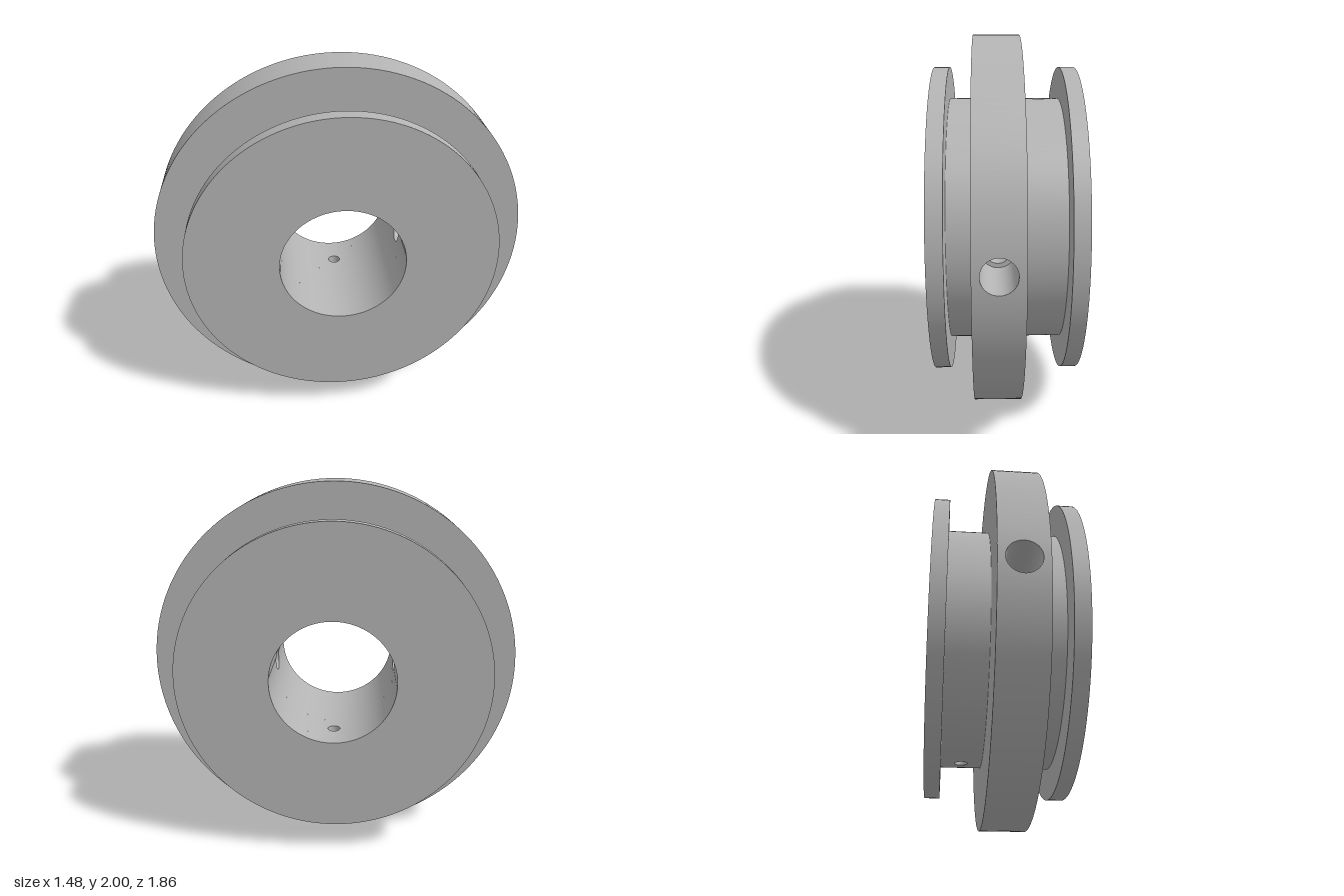
import * as THREE from 'three';

const TAU = Math.PI * 2;
const BORE = 0.335, HUB = 0.665, DISC = 0.832, FLANGE = 1;
// stations along the axle: disc | hub | flange | hub | disc
const [S0, S1, S2, S3, S4, S5] = [-0.385, -0.305, -0.09, 0.153, 0.28, 0.362];

// smooth surface from point(u, v) and normal(point, u, v), wound to face its normal
function grid(nu, nv, point, normal) {
  const pts = [], nrm = [], index = [];
  for (let j = 0; j <= nv; j++) for (let i = 0; i <= nu; i++) {
    const p = point(i / nu, j / nv);
    pts.push(p);
    nrm.push(normal(p, i / nu, j / nv).normalize());
  }
  const tri = (a, b, c) => {
    const n = pts[b].clone().sub(pts[a]).cross(pts[c].clone().sub(pts[a]));
    index.push(...(n.dot(nrm[a]) >= 0 ? [a, b, c] : [a, c, b]));
  };
  for (let j = 0; j < nv; j++) for (let i = 0; i < nu; i++) {
    const a = j * (nu + 1) + i, b = a + 1, c = a + nu + 1, d = c + 1;
    tri(a, b, d);
    tri(a, d, c);
  }
  const g = new THREE.BufferGeometry().setFromPoints(pts);
  g.setAttribute('normal', new THREE.Float32BufferAttribute(nrm.flatMap(n => n.toArray()), 3));
  g.setIndex(index);
  return g;
}

// round wall about z; side is 1 for an outer wall, -1 for the bore
function wall(R, z0, z1, side = 1, start = 0, length = TAU) {
  return grid(Math.ceil(160 * length / TAU), 1,
    (u, v) => new THREE.Vector3(R * Math.cos(start + u * length), R * Math.sin(start + u * length), z0 + v * (z1 - z0)),
    p => new THREE.Vector3(side * p.x, side * p.y, 0));
}

// flat ring at z, facing +z or -z
function face(r0, r1, z, dir) {
  const g = new THREE.RingGeometry(r0, r1, 160, 1);
  if (dir < 0) g.rotateY(Math.PI);
  return g.translate(0, 0, z);
}

// place a point given by radial distance, sideways offset and height along z
function place(angle, rad, x, z) {
  const c = Math.cos(angle), s = Math.sin(angle);
  return new THREE.Vector3(c * rad - s * x, s * rad + c * x, z);
}

// round wall pierced by two opposite radial holes
function piercedWall(R, z0, z1, r, angle, side = 1) {
  const mid = (z0 + z1) / 2, h = (z1 - z0) / 2, half = Math.asin(h / R);
  const out = [];
  for (const a of [angle, angle + Math.PI]) {
    out.push(wall(R, z0, z1, side, a + half, Math.PI - 2 * half));
    // square patch around the hole
    out.push(grid(64, 4, (u, v) => {
      const c = Math.cos(u * TAU), s = Math.sin(u * TAU);
      const k = r + v * (h / Math.max(Math.abs(c), Math.abs(s)) - r);
      return place(a, Math.sqrt(R * R - c * c * k * k), c * k, mid + s * k);
    }, p => new THREE.Vector3(side * p.x, side * p.y, 0)));
  }
  return out;
}

// inside of a radial hole; from and to give the radial reach at sideways offset x
function holeWall(r, angle, mid, from, to) {
  return grid(48, 1, (u, v) => {
    const x = r * Math.cos(u * TAU);
    return place(angle, from(x) + v * (to(x) - from(x)), x, mid + r * Math.sin(u * TAU));
  }, (p, u) => place(angle, 0, -Math.cos(u * TAU), -Math.sin(u * TAU)));
}

const onRound = R => x => Math.sqrt(R * R - x * x);
const flat = d => () => d;

export function createModel() {
  const metal = new THREE.MeshStandardMaterial({ color: 0xb4b4b4 });
  metal.name = 'plain grey metal';
  const model = new THREE.Group();
  model.name = 'flangedCollar';
  const body = new THREE.Group();
  body.name = 'collarBody';
  model.add(body);

  const part = (name, geometries) => {
    const group = new THREE.Group();
    group.name = name;
    geometries.forEach(g => {
      const mesh = new THREE.Mesh(g, metal);
      mesh.name = name + 'Surface';
      group.add(mesh);
    });
    body.add(group);
  };

  // end discs
  part('rearDisc', [face(BORE, DISC, S0, -1), wall(DISC, S0, S1), face(HUB, DISC, S1, 1)]);
  part('frontDisc', [face(HUB, DISC, S4, -1), wall(DISC, S4, S5), face(BORE, DISC, S5, 1)]);

  // hubs, the wide one with a small vertical pin hole
  const PIN = 0.034, SCREW = 0.085, PILOT = 0.063, STEP = 0.63;
  const up = Math.PI / 2;
  part('rearHub', piercedWall(HUB, S1, S2, PIN, up));
  part('frontHub', [wall(HUB, S3, S4)]);

  // large middle flange with screw holes through its rim
  part('middleFlange', [
    face(HUB, FLANGE, S2, -1), face(HUB, FLANGE, S3, 1),
    ...piercedWall(FLANGE, S2, S3, SCREW, 0),
  ]);

  // bore, pierced by both pairs of holes
  part('bore', [
    wall(BORE, S0, S1, -1), wall(BORE, S3, S5, -1),
    ...piercedWall(BORE, S1, S2, PIN, up, -1),
    ...piercedWall(BORE, S2, S3, PILOT, 0, -1),
  ]);

  // hole linings
  const pinZ = (S1 + S2) / 2, screwZ = (S2 + S3) / 2;
  for (const turn of [0, Math.PI]) {
    part('pinHole', [holeWall(PIN, up + turn, pinZ, onRound(BORE), onRound(HUB))]);
    part('screwHole', [
      holeWall(PILOT, turn, screwZ, onRound(BORE), flat(STEP)),
      holeWall(SCREW, turn, screwZ, flat(STEP), onRound(FLANGE)),
      grid(48, 1, (u, v) => {
        const r = PILOT + v * (SCREW - PILOT);
        return place(turn, STEP, r * Math.cos(u * TAU), screwZ + r * Math.sin(u * TAU));
      }, () => place(turn, 1, 0, 0)),
    ]);
  }

  // the axle direction is turned 60 degrees from the front
  body.rotation.y = Math.PI / 3;
  body.position.set(0.009, 1, -0.016);
  return model;
}
